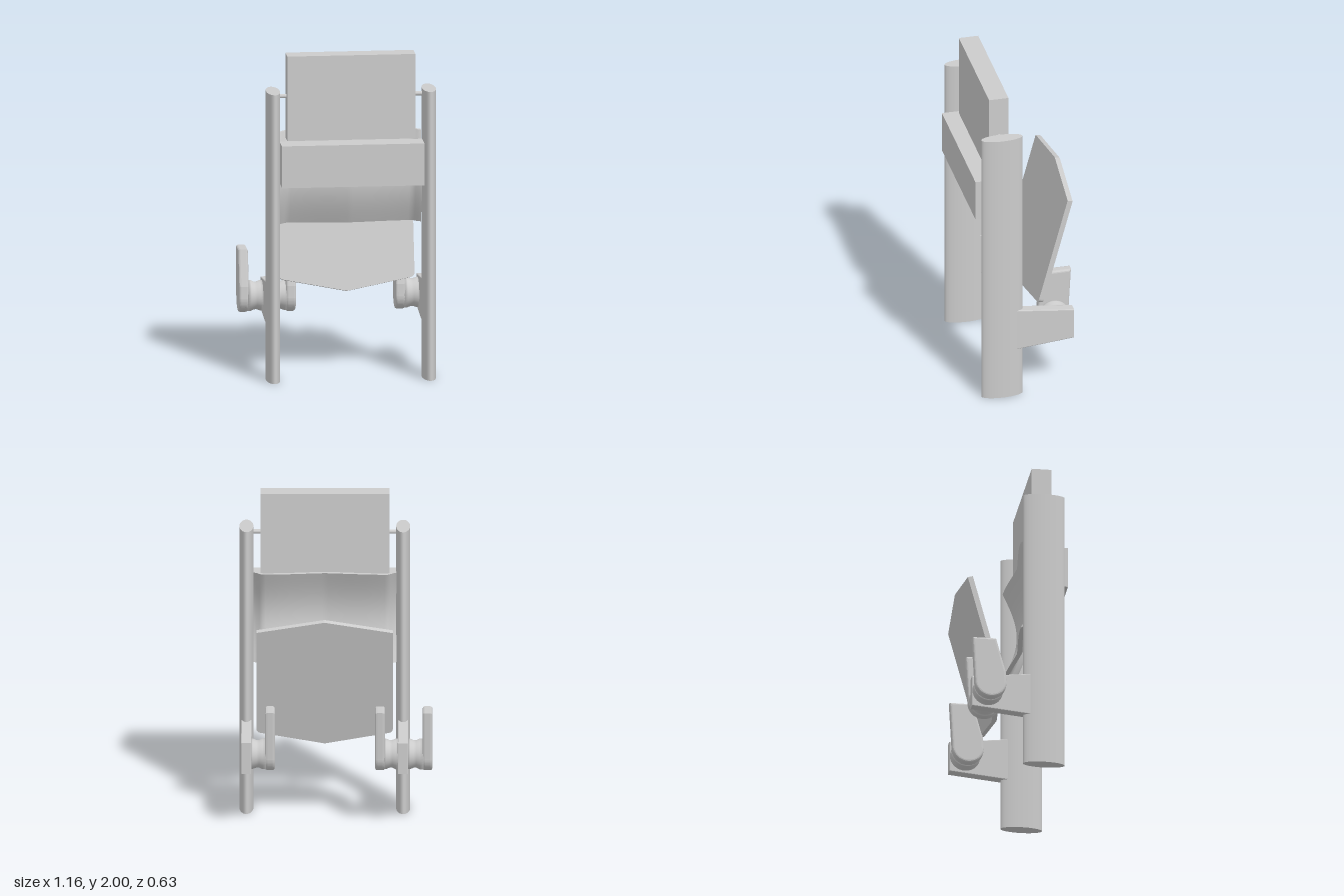
import * as THREE from 'three';

const MID = 0.065; // centre line of the seat between its two posts
const material = new THREE.MeshStandardMaterial({ color: 0xcccccc });

export function createModel() {
  const group = new THREE.Group();
  const add = (name, geometry, x = 0, y = 0, z = 0) => {
    const mesh = new THREE.Mesh(geometry, material);
    mesh.name = name;
    mesh.position.set(x, y, z);
    group.add(mesh);
    return mesh;
  };

  // Extrudes a [z, y] outline along x, centred on x = 0
  const sidePlate = (shape, width, bevel) => {
    const geo = new THREE.ExtrudeGeometry(shape, {
      depth: width - 2 * bevel, bevelEnabled: bevel > 0, bevelSize: bevel,
      bevelThickness: bevel, bevelOffset: -bevel, bevelSegments: 3, curveSegments: 16,
    });
    geo.translate(0, 0, bevel - width / 2);
    return geo.rotateY(-Math.PI / 2);
  };

  // Bracket arm outline, tapering towards the back
  const armShape = new THREE.Shape([[0.1, 0.313], [0.1, 0.588], [-0.285, 0.545], [-0.285, 0.35]]
    .map(([z, y]) => new THREE.Vector2(z, y)));

  // Hinge plate outline: round foot with an upright tongue
  const hingeShape = new THREE.Shape();
  hingeShape.moveTo(-0.157, 0.74);
  hingeShape.lineTo(-0.302, 0.74);
  hingeShape.lineTo(-0.286, 0.447);
  hingeShape.absarc(-0.19, 0.447, 0.096, Math.PI, Math.PI * 2, false);
  hingeShape.lineTo(-0.098, 0.52);
  hingeShape.closePath();

  for (const side of [-1, 1]) {
    const x = MID + side * 0.472;
    const label = side > 0 ? 'left' : 'right';

    // Oval post
    const post = new THREE.CylinderGeometry(1, 1, 1.778, 40).scale(0.042, 1, 0.127);
    add(label + 'Post', post, x, 0.889, 0.157);

    // Bracket arm behind the post
    add(label + 'Arm', sidePlate(armShape, 0.062, 0.006), x);

    // Rod holding the head panel
    const rod = new THREE.CylinderGeometry(0.013, 0.013, 0.09, 16).rotateZ(Math.PI / 2);
    add(label + 'Rod', rod, MID + side * 0.405, 1.745, 0.154);
  }

  // Hinge plates: two behind the seat, one outside for the neighbouring seat
  for (const x of [-0.555, -0.269, 0.394]) add('hingePlate', sidePlate(hingeShape, 0.06, 0.014), x);

  // Pinched hubs joining arms to hinge plates
  const hub = (from, to) => {
    const profile = [[0, 0], [0.094, 0], [0.094, 0.25], [0.084, 0.45], [0.084, 0.6], [0.092, 0.8], [0.092, 1], [0, 1]]
      .map(([r, t]) => new THREE.Vector2(r, t * (to - from)));
    const geo = new THREE.LatheGeometry(profile, 32).rotateZ(-Math.PI / 2);
    add('hingeHub', geo, from, 0.449, -0.19);
  };
  hub(-0.535, -0.43);
  hub(-0.39, -0.285);
  hub(0.41, 0.52);

  // Head panel and the box across the front of the back
  add('headPanel', new THREE.BoxGeometry(0.776, 0.52, 0.12), 0.063, 1.74, 0.155);
  add('frontBox', new THREE.BoxGeometry(0.862, 0.258, 0.14), 0.064, 1.339, 0.24);

  // Backrest: bowed across the width, bulging forward at half height
  const back = new THREE.BoxGeometry(0.862, 0.565, 0.028, 48, 20, 1);
  const pos = back.attributes.position;
  for (let i = 0; i < pos.count; i++) {
    const d = Math.abs(pos.getX(i));
    const bow = 0.08 - 0.036 * THREE.MathUtils.smoothstep(d, -0.1, 0.36)
      + 0.045 * THREE.MathUtils.smoothstep(d, 0.375, 0.431);
    const lumbar = 0.085 * Math.cos((pos.getY(i) / 0.565) * Math.PI);
    pos.setZ(i, pos.getZ(i) + bow + lumbar);
  }
  back.computeVertexNormals();
  add('backrest', back, 0.063, 1.2275, 0);

  // Folded-up seat: six-sided board with softened lower corners
  const seatShape = new THREE.Shape();
  seatShape.moveTo(0, 0);
  seatShape.lineTo(0.385, 0.075);
  seatShape.quadraticCurveTo(0.41, 0.08, 0.411, 0.105);
  seatShape.lineTo(0.411, 0.787);
  seatShape.lineTo(0, 0.86);
  seatShape.lineTo(-0.411, 0.787);
  seatShape.lineTo(-0.411, 0.105);
  seatShape.quadraticCurveTo(-0.41, 0.08, -0.385, 0.075);
  seatShape.closePath();
  const seatGeo = new THREE.ExtrudeGeometry(seatShape, { depth: 0.032, bevelEnabled: false });
  seatGeo.translate(0, 0, -0.032);
  add('seat', seatGeo, MID, 0.492, -0.062).rotation.x = -0.262;

  return group;
}
